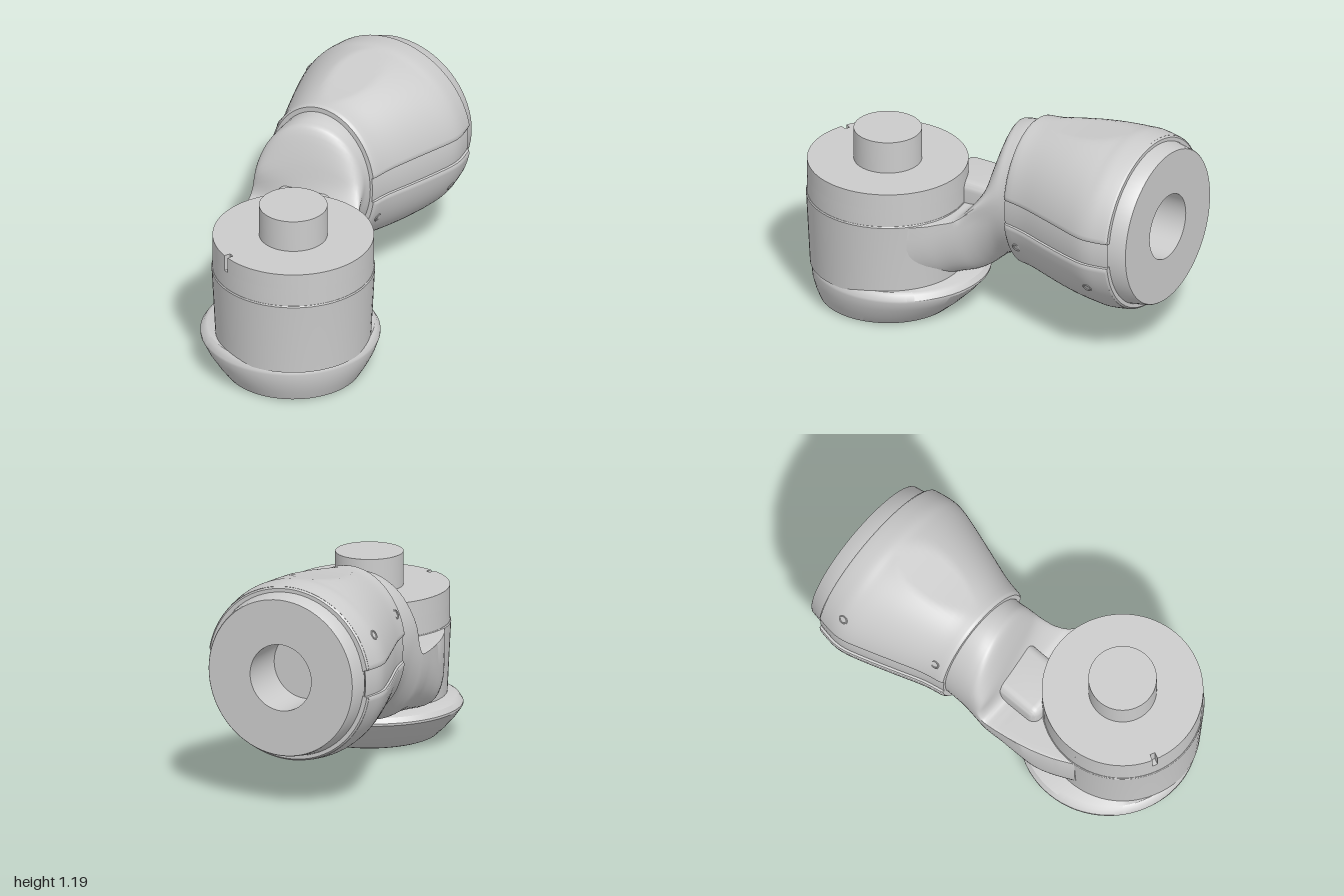
import * as THREE from 'three';
import { toCreasedNormals } from 'three/addons/utils/BufferGeometryUtils.js';
import { RoundedBoxGeometry } from 'three/addons/geometries/RoundedBoxGeometry.js';

const V = (x, y, z) => new THREE.Vector3(x, y, z);
const material = new THREE.MeshStandardMaterial({ color: 0xcccccc, side: THREE.DoubleSide });
const AXIS = { x: 0.165, z: 0.565 };   // upright joint
const ARM = { x: -0.105, y: 0.707 };   // horizontal joint

function part(name, geometry, parent, crease = 0.55) {
  const mesh = new THREE.Mesh(toCreasedNormals(geometry, crease), material);
  mesh.name = name;
  parent.add(mesh);
  return mesh;
}

// Surface through rows of points, skipping collapsed triangles
function skin(rows) {
  const pos = [];
  const tri = (a, b, c) => {
    const area = b.clone().sub(a).cross(c.clone().sub(a)).length();
    if (area > 1e-9) for (const p of [a, b, c]) pos.push(p.x, p.y, p.z);
  };
  for (let i = 0; i < rows.length - 1; i++) {
    for (let j = 0; j < rows[i].length - 1; j++) {
      const [a, b, c, d] = [rows[i][j], rows[i][j + 1], rows[i + 1][j + 1], rows[i + 1][j]];
      tri(a, b, c);
      tri(a, c, d);
    }
  }
  const g = new THREE.BufferGeometry();
  g.setAttribute('position', new THREE.Float32BufferAttribute(pos, 3));
  return g;
}

// Closes both ends of a stack of rings
function capped(rings) {
  const centre = (ring) => {
    const c = V(0, 0, 0);
    for (let i = 1; i < ring.length; i++) c.add(ring[i]);
    c.divideScalar(ring.length - 1);
    return ring.map(() => c);
  };
  return skin([centre(rings[0]), ...rings, centre(rings[rings.length - 1])]);
}

const ring = (n, fn) => Array.from({ length: n + 1 }, (_, i) => fn(((i % n) / n) * Math.PI * 2));

// Smooth samples through a table of section values
function smooth(table, steps) {
  const out = [], last = table.length - 1;
  for (let i = 0; i < last; i++) {
    const k = [i - 1, i, i + 1, i + 2].map((q) => table[Math.min(last, Math.max(0, q))]);
    for (let s = 0; s < steps; s++) {
      const t = s / steps;
      out.push(k[1].map((p, c) => {
        const m0 = (k[2][c] - k[0][c]) / 2, m1 = (k[3][c] - p) / 2, d = k[2][c] - p;
        return p + m0 * t + (3 * d - 2 * m0 - m1) * t * t + (m0 + m1 - 2 * d) * t * t * t;
      }));
    }
  }
  out.push(table[last]);
  return out;
}

const lathe = (pts) => new THREE.LatheGeometry(pts.map(([r, y]) => new THREE.Vector2(r, y)), 72);

function buildUpright(root) {
  const g = new THREE.Group();
  g.name = 'uprightJoint';
  g.position.set(AXIS.x, 0, AXIS.z);
  root.add(g);
  part('body', lathe([[0, 0.2], [0.41, 0.2], [0.43, 0.598], [0.431, 0.608], [0.427, 0.615], [0, 0.615]]), g);
  part('turningRing', lathe([[0, 0.6], [0.425, 0.6], [0.425, 0.715], [0, 0.715]]), g);
  part('outputShaft', lathe([[0.18, 0.78], [0.18, 0.985], [0, 0.985]]), g);

  // Upper ring with an index notch in its rim
  const a = Math.atan2(-0.385, -0.182), w = 0.035;
  const shape = new THREE.Shape();
  shape.absarc(0, 0, 0.425, a + w, a - w + Math.PI * 2, false);
  shape.lineTo(0.39 * Math.cos(a - w), 0.39 * Math.sin(a - w));
  shape.lineTo(0.39 * Math.cos(a + w), 0.39 * Math.sin(a + w));
  const notched = new THREE.ExtrudeGeometry(shape, { depth: 0.09, bevelEnabled: false, curveSegments: 72 });
  notched.rotateX(-Math.PI / 2).translate(0, 0.715, 0);
  part('notchedRing', notched, g);

  // Lower cap leans toward the arm as it widens: height, radius, lean
  const levels = [
    [0.06, 0.255, 0], [0.02, 0.255, 0], [0.02, 0.285, 0], [0, 0.305, 0], [0, 0.345, 0], [0.008, 0.362, 0.002],
    [0.06, 0.405, 0.017], [0.12, 0.446, 0.034], [0.175, 0.474, 0.05], [0.188, 0.474, 0.051],
    [0.215, 0.457, 0.05], [0.225, 0.44, 0.045],
  ];
  part('bottomCap', capped(levels.map(([y, r, lean]) =>
    ring(72, (t) => V(r * Math.cos(t) - lean, y, -r * Math.sin(t) - lean * 1.08)))), g);
}

function buildElbow(root) {
  // z, left edge, right edge, widest height, top, bottom, squareness
  const sections = smooth([
    [-0.3, -0.4, 0.19, 0.71, 1.085, 0.335, 2],
    [-0.18, -0.4, 0.19, 0.71, 1.085, 0.335, 2],
    [-0.1, -0.4, 0.19, 0.71, 1.075, 0.325, 2],
    [-0.05, -0.4, 0.2, 0.7, 1.045, 0.305, 2],
    [0, -0.4, 0.22, 0.67, 0.9, 0.265, 2],
    [0.04, -0.4, 0.25, 0.64, 0.72, 0.23, 2],
    [0.08, -0.398, 0.29, 0.61, 0.625, 0.212, 2.1],
    [0.14, -0.393, 0.355, 0.605, 0.612, 0.21, 2.3],
    [0.2, -0.385, 0.425, 0.605, 0.612, 0.21, 2.6],
    [0.3, -0.37, 0.485, 0.605, 0.612, 0.21, 3.5],
    [0.4, -0.345, 0.5, 0.605, 0.612, 0.21, 5],
    [0.5, -0.31, 0.5, 0.605, 0.612, 0.21, 5],
    [0.6, -0.262, 0.48, 0.605, 0.612, 0.21, 5],
  ], 4);
  const rings = sections.map(([z, l, r, cy, top, bottom, n]) => ring(64, (t) => {
    const c = Math.cos(t), s = Math.sin(t), p = 2 / n;
    const x = (l + r) / 2 + ((r - l) / 2) * Math.sign(c) * Math.abs(c) ** p;
    const y = cy + (s > 0 ? top - cy : bottom - cy) * Math.abs(s) ** p;
    // the open face above the shelf is slanted
    const slant = z < 0.15 ? THREE.MathUtils.smoothstep(y, 0.6, 0.8) : 0;
    return V(x, y, z - 0.2 * (x - ARM.x) * slant);
  }));
  part('elbow', capped(rings), root);
  const saddle = part('saddle', new RoundedBoxGeometry(0.31, 0.2, 0.44, 4, 0.05), root);
  saddle.position.set(-0.08, 0.63, 0.08);
}

function buildArm(root) {
  const g = new THREE.Group();
  g.name = 'horizontalJoint';
  g.position.set(ARM.x, ARM.y, 0);
  root.add(g);

  // z, half width, half height
  const profile = smooth([
    [-0.91, 0.476, 0.47], [-0.86, 0.486, 0.479], [-0.79, 0.495, 0.485], [-0.72, 0.488, 0.476],
    [-0.6, 0.452, 0.458], [-0.45, 0.402, 0.437], [-0.3, 0.352, 0.422], [-0.18, 0.328, 0.415],
  ], 4);
  // Point on the housing at depth d, with a flattened area at top and bottom
  const point = ([z, hx, hy], t, d) => {
    const u = THREE.MathUtils.clamp((-z - 0.25) / 0.5, 0, 1);
    const y = Math.sin(t) * (hy - d) * (1 + 0.05 * Math.sin(Math.PI * u));
    return V(Math.cos(t) * (hx - d), THREE.MathUtils.clamp(y, d - hy, hy - d), z);
  };
  part('housing', capped(profile.map((s) => ring(72, (t) => point(s, t, 0.02)))), g);

  // Two raised half shells, with a slot between them on each side
  const last = profile.length - 1;
  const inset = ([z, x, y], dz) => [z + dz, x, y];
  const rows = [
    [profile[0], 0.035], [profile[0], 0.008], [inset(profile[0], 0.01), 0],
    ...profile.slice(1, last).map((s) => [s, 0]),
    [inset(profile[last], -0.012), 0], [profile[last], 0.01], [profile[last], 0.035],
  ];
  const columns = [[0, 0.035], [0, 0.007], [0.008, 0]];
  for (let i = 1; i < 48; i++) columns.push([i / 48, 0]);
  columns.push([0.992, 0], [1, 0.007], [1, 0.035]);
  const shellGeometry = skin(rows.map(([s, dr]) => {
    const a = Math.asin(0.073 / s[2]);
    return columns.map(([f, dc]) => point(s, a + f * (Math.PI - 2 * a), Math.max(dr, dc)));
  }));
  for (const [name, turn] of [['upperShell', 0], ['lowerShell', Math.PI]]) {
    const shell = part(name, shellGeometry, g, 0.7);
    shell.rotation.z = turn;
    // Screw seats on one flank of each shell
    for (const [z, hx, hy] of [[-0.77, 0.494, 0.483], [-0.25, 0.34, 0.418]]) {
      const t = Math.PI - 0.5;
      const seat = part('screwSeat', new THREE.TorusGeometry(0.022, 0.005, 8, 24), shell);
      seat.position.set(hx * Math.cos(t), hy * Math.sin(t), z);
      seat.lookAt(0, 0, 0);
      seat.rotation.set(0, 0, 0);
      seat.quaternion.setFromUnitVectors(V(0, 0, 1), V(Math.cos(t) / hx, Math.sin(t) / hy, 0).normalize());
    }
  }

  // End flange with its blind bore
  const flange = lathe([[0, 0.72], [0.18, 0.72], [0.18, 1], [0.423, 1], [0.427, 0.995], [0.445, 0.9]].reverse());
  part('boredFlange', flange, g).rotation.x = -Math.PI / 2;
}

export function createModel() {
  const root = new THREE.Group();
  root.name = 'jointedElbow';
  buildUpright(root);
  buildElbow(root);
  buildArm(root);
  // The housing is closed, so open its back inside the flange
  const housing = root.getObjectByName('housing');
  const p = housing.geometry.attributes.position;
  for (let i = 0; i < p.count; i++) {
    if (Math.hypot(p.getX(i), p.getY(i)) < 0.01 && p.getZ(i) < -0.9) p.setZ(i, -0.3);
  }
  housing.geometry = toCreasedNormals(housing.geometry, 0.55);
  return root;
}
